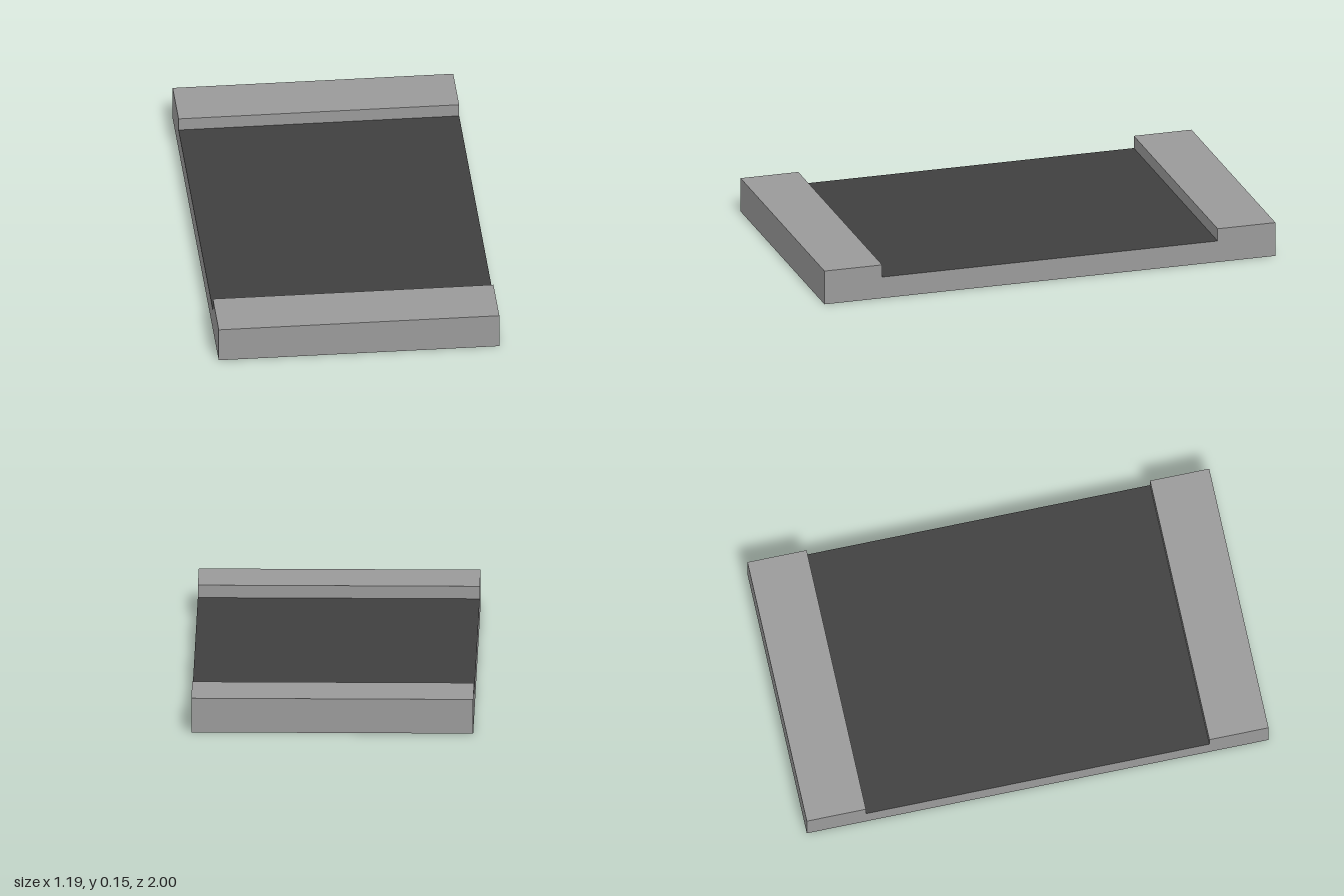
import * as THREE from 'three';

const WIDTH = 1.194;
const END_HEIGHT = 0.15;
const DECK_HEIGHT = 0.095;
const INNER_Z = 0.744;

export function createModel() {
  const model = new THREE.Group();
  model.name = 'tray';

  const grey = new THREE.MeshStandardMaterial({ color: 0x9a9a9a });
  const dark = new THREE.MeshStandardMaterial({ color: 0x3f3f3f });

  // A box standing on the ground, centred at z
  const addSlab = (name, height, depth, z, material) => {
    const slab = new THREE.Mesh(new THREE.BoxGeometry(WIDTH, height, depth), material);
    slab.name = name;
    slab.position.set(0, height / 2, z);
    model.add(slab);
  };

  // Low deck: grey sides and underside, dark top face
  addSlab('deck', DECK_HEIGHT, INNER_Z * 2, 0, [grey, grey, dark, grey, grey, grey]);

  // Raised blocks across the front and back ends
  for (const [name, side] of [['frontBlock', 1], ['backBlock', -1]]) {
    addSlab(name, END_HEIGHT, 1 - INNER_Z, side * (1 + INNER_Z) / 2, grey);
  }

  return model;
}
